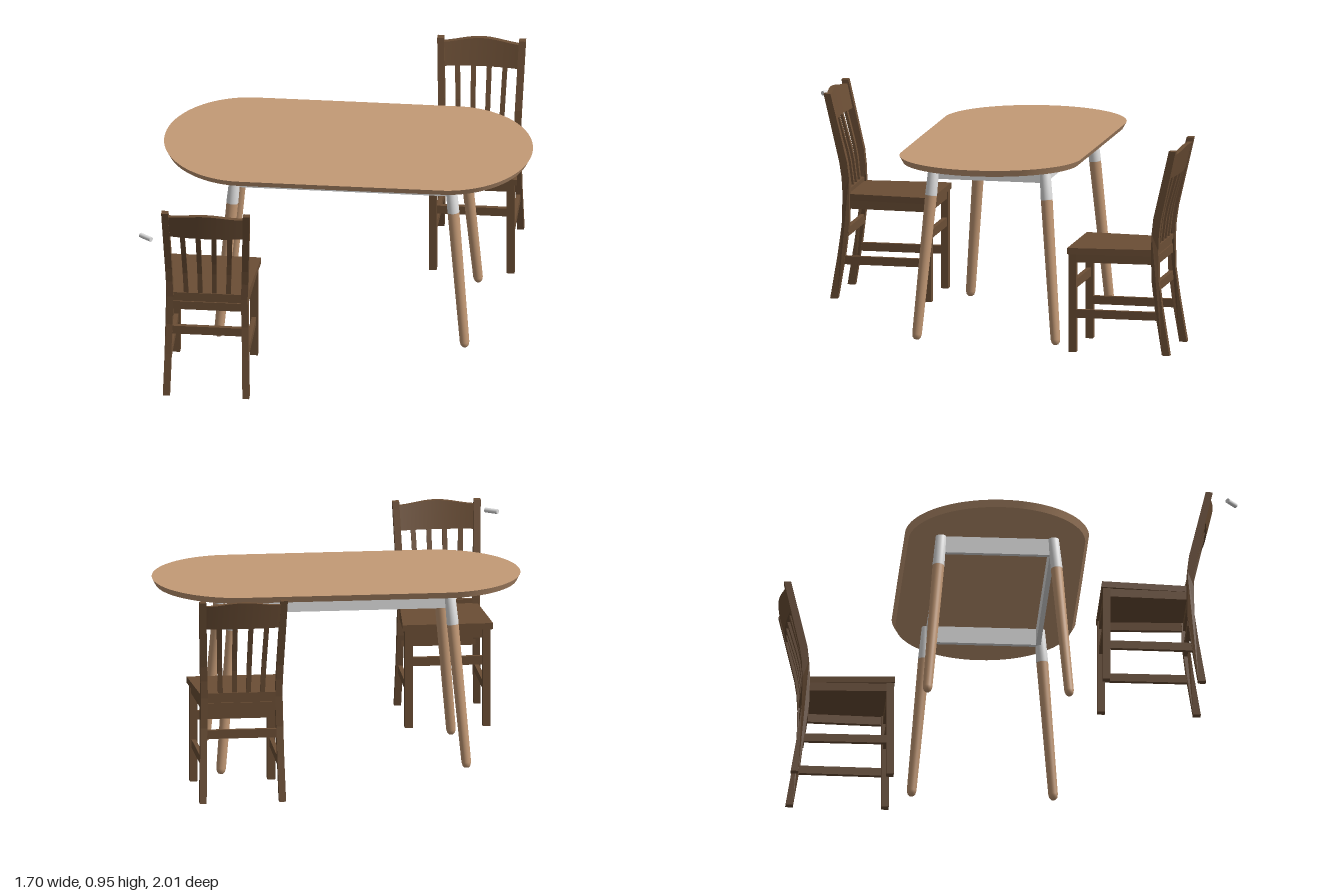
import * as THREE from 'three';

const mat = (name, color) => {
  const m = new THREE.MeshStandardMaterial({ color });
  m.name = name;
  return m;
};

export function createModel() {
  const tan = mat('light wood', 0xc49a76);
  const brown = mat('dark wood', 0x6b4e35);
  const white = mat('white paint', 0xdedede);

  const add = (parent, name, geometry, material) => {
    const mesh = new THREE.Mesh(geometry, material);
    mesh.name = name;
    parent.add(mesh);
    return mesh;
  };

  // Apply fn(v) to every vertex
  const warp = (g, fn) => {
    const p = g.attributes.position, v = new THREE.Vector3();
    for (let i = 0; i < p.count; i++) {
      fn(v.fromBufferAttribute(p, i));
      p.setXYZ(i, v.x, v.y, v.z);
    }
    g.computeVertexNormals();
    return g;
  };

  // Horizontal bar from (x1, z1) to (x2, z2), centred at height y
  const bar = (parent, name, material, [x1, z1], [x2, z2], y, height, thick) => {
    const len = Math.hypot(x2 - x1, z2 - z1);
    const m = add(parent, name, new THREE.BoxGeometry(len, height, thick), material);
    m.position.set((x1 + x2) / 2, y, (z1 + z2) / 2);
    m.rotation.y = -Math.atan2(z2 - z1, x2 - x1);
    return m;
  };

  function makeTable() {
    const table = new THREE.Group();
    table.name = 'table';

    // Top: disc stretched into a long oval, its edge tapering inward below
    const endX = 0.385, endZ = 0.42, straight = 0.457;
    const top = new THREE.CylinderGeometry(1, 0.96, 0.03, 94);
    const oval = warp(top, v => {
      const s = Math.abs(v.x) < 1e-6 ? 0 : Math.sign(v.x);
      v.x = v.x * endX + s * straight;
      v.z *= endZ;
    });
    add(table, 'tableTop', oval, tan).position.y = 0.83;

    // Apron frame
    const ax = 0.485, az = 0.25;
    for (const s of [-1, 1]) {
      bar(table, 'longApron', white, [-ax, s * az], [ax, s * az], 0.775, 0.08, 0.022);
      bar(table, 'shortApron', white, [s * ax, -az], [s * ax, az], 0.775, 0.08, 0.022);
    }

    // Splayed round legs with painted collars
    const legProfile = [[0, 0], [0.011, 0.002], [0.018, 0.01], [0.022, 0.026], [0.027, 0.665]]
      .map(p => new THREE.Vector2(...p));
    const collarProfile = [[0.027, 0.665], [0.0275, 0.668], [0.024, 0.821], [0, 0.821]]
      .map(p => new THREE.Vector2(...p));
    const legGeo = new THREE.LatheGeometry(legProfile, 24);
    const collarGeo = new THREE.LatheGeometry(collarProfile, 24);
    for (const sx of [-1, 1]) for (const sz of [-1, 1]) {
      const leg = new THREE.Group();
      leg.name = 'tableLeg';
      const dir = new THREE.Vector3(-sx * 0.072, 0.815, -sz * 0.068).normalize();
      leg.quaternion.setFromUnitVectors(new THREE.Vector3(0, 1, 0), dir);
      leg.position.set(sx * 0.564, 0, sz * 0.325);
      add(leg, 'legShaft', legGeo, tan);
      add(leg, 'legCollar', collarGeo, white);
      table.add(leg);
    }
    return table;
  }

  // Chair back: lean of the posts, and the backward bow between them
  const lean = y => y < 0.63
    ? -0.153 - 0.012 * Math.max(0, (y - 0.48) / 0.15)
    : -0.165 - (y - 0.63) * 0.231;
  const bow = x => -0.018 * (1 - (x / 0.19) ** 2);

  function makeChair() {
    const chair = new THREE.Group();
    chair.name = 'chair';

    // Seat, wider at the front
    const seatShape = new THREE.Shape([[-0.207, 0.25], [-0.178, -0.157], [0.178, -0.157], [0.207, 0.25]]
      .map(p => new THREE.Vector2(...p)));
    const seat = new THREE.ExtrudeGeometry(seatShape, { depth: 0.029, bevelEnabled: false });
    seat.rotateX(Math.PI / 2);
    add(chair, 'seat', seat, brown).position.y = 0.483;

    // Rear leg and back post in one bent piece: [y, front z, back z]
    const bends = [[0, -0.19, -0.225], [0.2, -0.157, -0.192], [0.34, -0.14, -0.173], [0.48, -0.136, -0.17],
      [0.56, -0.14, -0.174], [0.63, -0.148, -0.184], [0.947, -0.223, -0.255]];
    const outline = [...bends.map(([y, f]) => new THREE.Vector2(f, y)),
      ...bends.map(([y, , b]) => new THREE.Vector2(b, y)).reverse()];
    for (const s of [-1, 1]) {
      const post = new THREE.ExtrudeGeometry(new THREE.Shape(outline), { depth: 0.031, bevelEnabled: false });
      post.rotateY(-Math.PI / 2);
      post.translate(0.0155, 0, 0);
      warp(post, v => {
        const splay = v.y > 0.48 ? (v.y - 0.48) * 0.036 : (0.48 - v.y) * 0.025;
        v.x += s * (0.17 + splay);
      });
      add(chair, 'backPost', post, brown);

      const leg = add(chair, 'frontLeg', new THREE.BoxGeometry(0.036, 0.456, 0.034), brown);
      leg.position.set(s * 0.178, 0.228, 0.229);

      bar(chair, 'sideApron', brown, [s * 0.182, 0.23], [s * 0.168, -0.15], 0.437, 0.044, 0.02);
      bar(chair, 'sideStretcher', brown, [s * 0.178, 0.23], [s * 0.174, -0.165], 0.177, 0.038, 0.02);
    }

    // Front and rear rails
    for (const z of [0.23, -0.153]) {
      bar(chair, 'endApron', brown, [-0.17, z], [0.17, z], 0.435, 0.04, 0.02);
      bar(chair, 'endStretcher', brown, [-0.17, z], [0.17, z], 0.308, 0.04, 0.02);
    }
    bar(chair, 'lowerBackRail', brown, [-0.165, -0.155], [0.165, -0.155], 0.491, 0.022, 0.022);

    // Upright slats, fanning outward and curving with the back
    for (const k of [-1.5, -0.5, 0.5, 1.5]) {
      const slat = new THREE.BoxGeometry(0.022, 0.35, 0.013, 1, 6, 1).toNonIndexed();
      warp(slat, v => {
        v.y += 0.665;
        const t = (v.y - 0.49) / 0.35;
        v.x += k * (0.064 + 0.009 * t);
        v.z += lean(v.y) + t * bow(v.x);
      });
      add(chair, 'backSlat', slat, brown);
    }

    // Crest rail, bowed in plan with a raised middle
    const crest = new THREE.BoxGeometry(0.366, 0.11, 0.022, 20, 1, 1);
    warp(crest, v => {
      const rise = v.y > 0 ? 0.009 * (1 + Math.cos(v.x * Math.PI / 0.183)) : 0;
      v.y += 0.872 + rise;
      v.z += lean(v.y) + bow(v.x);
    });
    add(chair, 'crestRail', crest, brown);
    return chair;
  }

  const model = new THREE.Group();
  model.name = 'diningSet';

  const table = makeTable();
  table.position.set(0.008, 0, -0.08);

  const rearChair = makeChair();
  rearChair.position.set(0.531, 0, -0.745);

  const frontChair = makeChair();
  frontChair.position.set(-0.555, 0, 0.63);
  frontChair.rotation.y = Math.PI;

  model.add(table, rearChair, frontChair);

  // Small loose peg
  const peg = new THREE.CylinderGeometry(0.011, 0.011, 0.066, 20);
  peg.rotateZ(Math.PI / 2);
  const pegMesh = add(model, 'peg', peg, white);
  pegMesh.position.set(-0.819, 0.866, 0.967);
  pegMesh.rotation.y = -0.66;

  return model;
}
